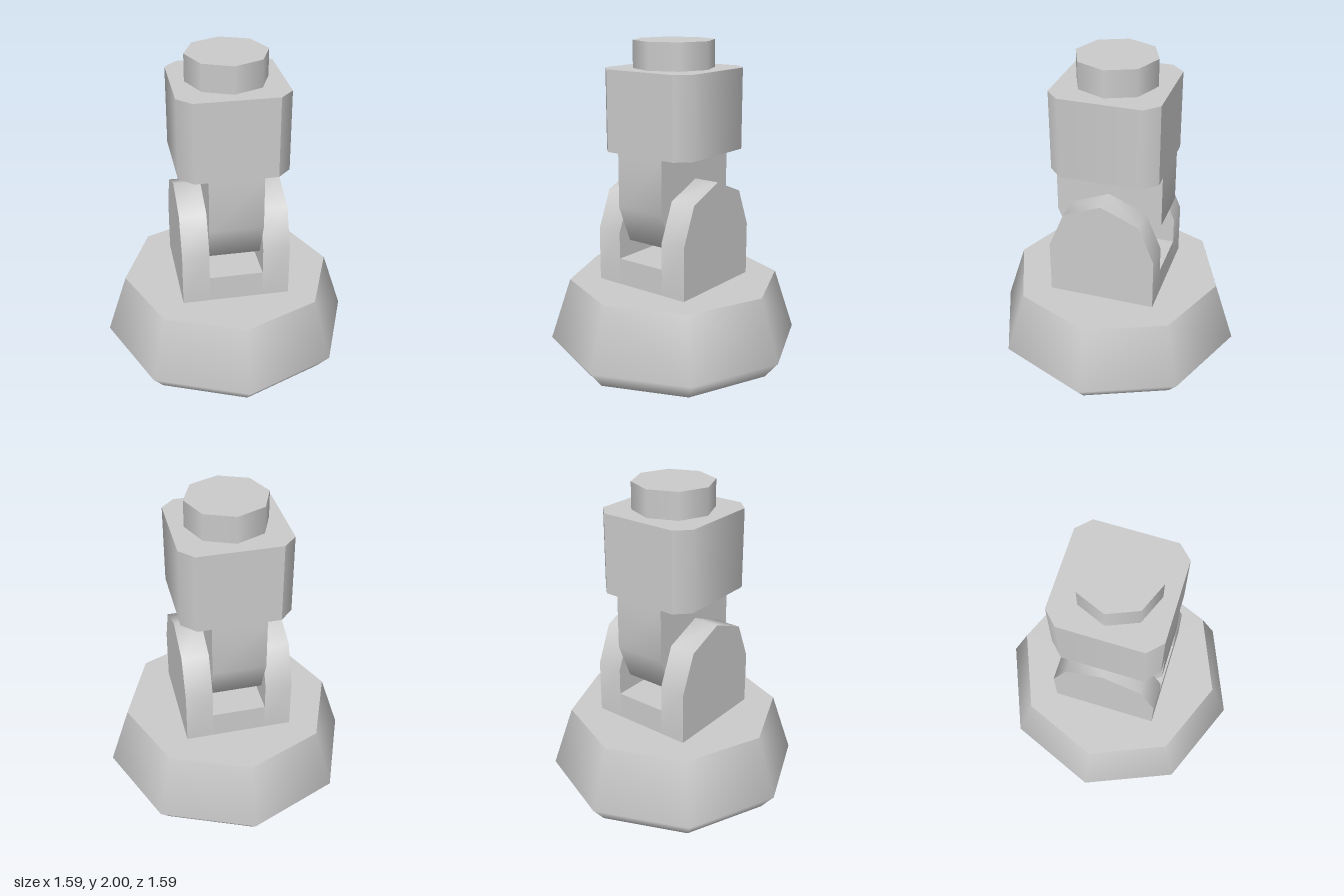
import * as THREE from 'three';
import { toCreasedNormals } from 'three/addons/utils/BufferGeometryUtils.js';

const H = 1 / 3; // half width of the joint, also radius of its rounded ends
const D = H * Math.SQRT1_2;

export function createModel() {
  const model = new THREE.Group();
  const material = new THREE.MeshStandardMaterial({ color: 0xcccccc });

  const add = (name, geometry, x = 0, y = 0) => {
    const mesh = new THREE.Mesh(geometry, material);
    mesh.name = name;
    mesh.position.set(x, y, 0);
    model.add(mesh);
    return mesh;
  };

  // Plate across x with a half-octagon end at pivotY and a square end at endY
  const hingePlate = (pivotY, endY, width) => {
    const s = Math.sign(pivotY - endY);
    const shape = new THREE.Shape([
      [-H, endY], [H, endY], [H, pivotY], [D, pivotY + s * D],
      [0, pivotY + s * H], [-D, pivotY + s * D], [-H, pivotY],
    ].map(([z, y]) => new THREE.Vector2(z, y)));
    const geometry = new THREE.ExtrudeGeometry(shape, { depth: width, bevelEnabled: false });
    geometry.translate(0, 0, -width / 2).rotateY(Math.PI / 2);
    return toCreasedNormals(geometry, Math.PI / 3);
  };

  // Octagonal foot: smooth wall with flat caps
  const profile = [[0.705, 0], [0.795, 0.11], [0.667, 0.5]].map(([r, y]) => new THREE.Vector2(r, y));
  add('footWall', new THREE.LatheGeometry(profile, 8));
  add('footTop', new THREE.CircleGeometry(0.667, 8).rotateX(-Math.PI / 2), 0, 0.5);
  add('footBottom', new THREE.CircleGeometry(0.705, 8).rotateX(Math.PI / 2));

  // Fork: two lugs joined by a low bridge
  for (const side of [1, -1]) {
    add(side > 0 ? 'leftLug' : 'rightLug', hingePlate(0.833, 0.5, 0.167), side * 0.25);
  }
  add('forkBridge', new THREE.BoxGeometry(H, 0.167, 2 * H), 0, 0.583);

  // Tongue hanging between the lugs
  add('tongue', hingePlate(1, 1.333, H));

  // Upper block with chamfered corners
  const c = 0.25;
  const outline = new THREE.Shape([
    [H, -c], [H, c], [c, H], [-c, H], [-H, c], [-H, -c], [-c, -H], [c, -H],
  ].map(([x, z]) => new THREE.Vector2(x, z)));
  const block = new THREE.ExtrudeGeometry(outline, { depth: 0.5, bevelEnabled: false });
  block.rotateX(-Math.PI / 2);
  // Chamfers blend into the side faces but stay sharp against front and back
  const pos = block.attributes.position;
  const normal = block.attributes.normal;
  const n = new THREE.Vector3();
  for (let i = 0; i < pos.count; i++) {
    if (Math.abs(normal.getX(i)) < 0.1) continue;
    const z = pos.getZ(i);
    n.set(Math.sign(pos.getX(i)), 0, Math.sign(z) * (Math.abs(z) > 0.3 ? 1 : 0.414)).normalize();
    normal.setXYZ(i, n.x, n.y, n.z);
  }
  add('upperBlock', block, 0, 1.333);

  // Octagonal stud on top
  add('topStud', new THREE.CylinderGeometry(0.25, 0.25, 0.167, 8), 0, 1.9165);

  return model;
}
